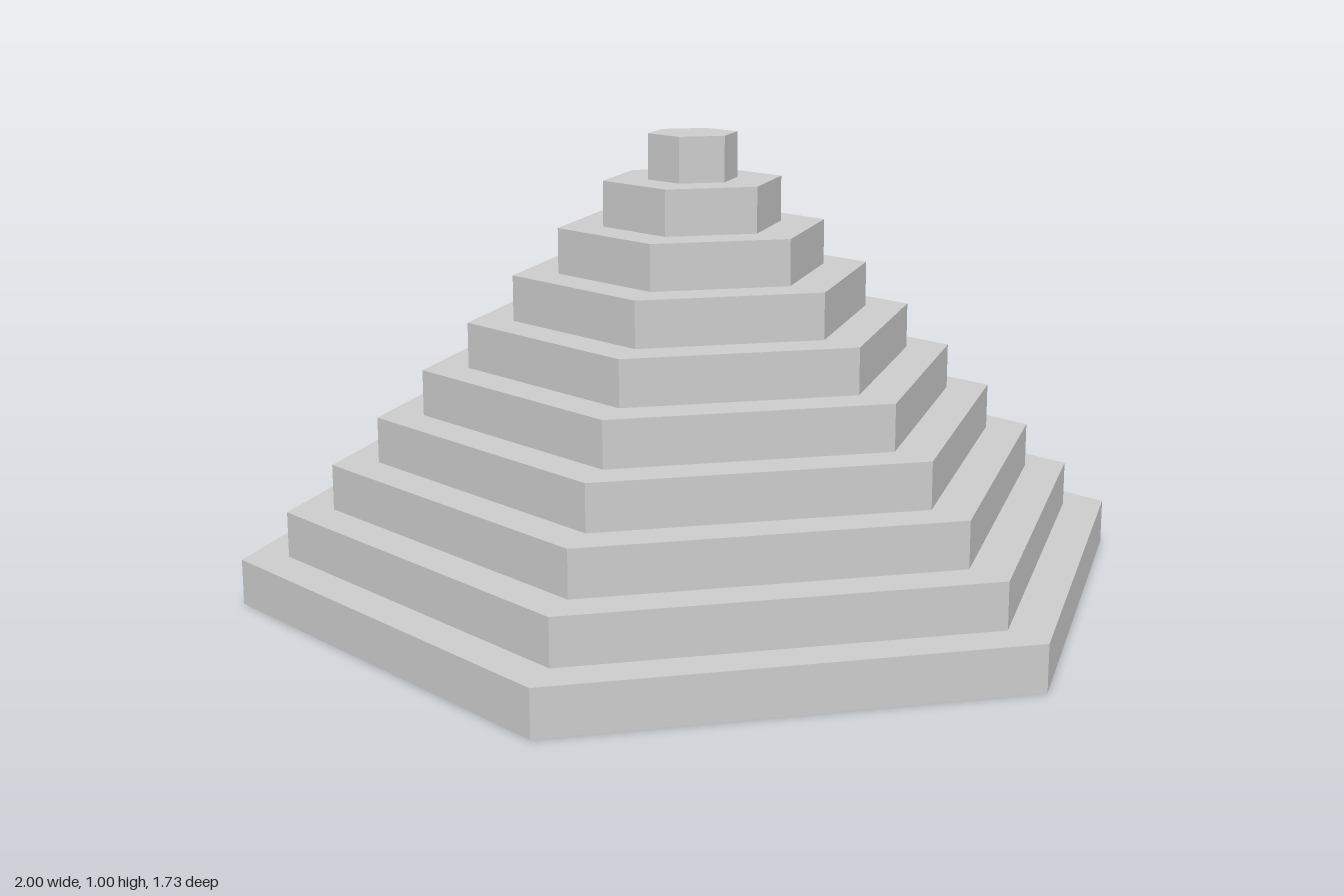
import * as THREE from 'three';

const TIERS = 10;
const STEP = 0.1; // tier height, and how far each tier's corners step in

export function createModel() {
  const group = new THREE.Group();
  group.name = 'steppedHexagonalPyramid';
  const material = new THREE.MeshStandardMaterial({ color: 0xcccccc, flatShading: true });

  // Stacked hexagonal slabs, with corners pointing along +x and -x
  for (let i = 0; i < TIERS; i++) {
    const radius = (TIERS - i) * STEP;
    const geometry = new THREE.CylinderGeometry(radius, radius, STEP, 6, 1, false, Math.PI / 2);
    const tier = new THREE.Mesh(geometry, material);
    tier.name = `tier${i + 1}`;
    tier.position.y = (i + 0.5) * STEP;
    group.add(tier);
  }
  return group;
}
